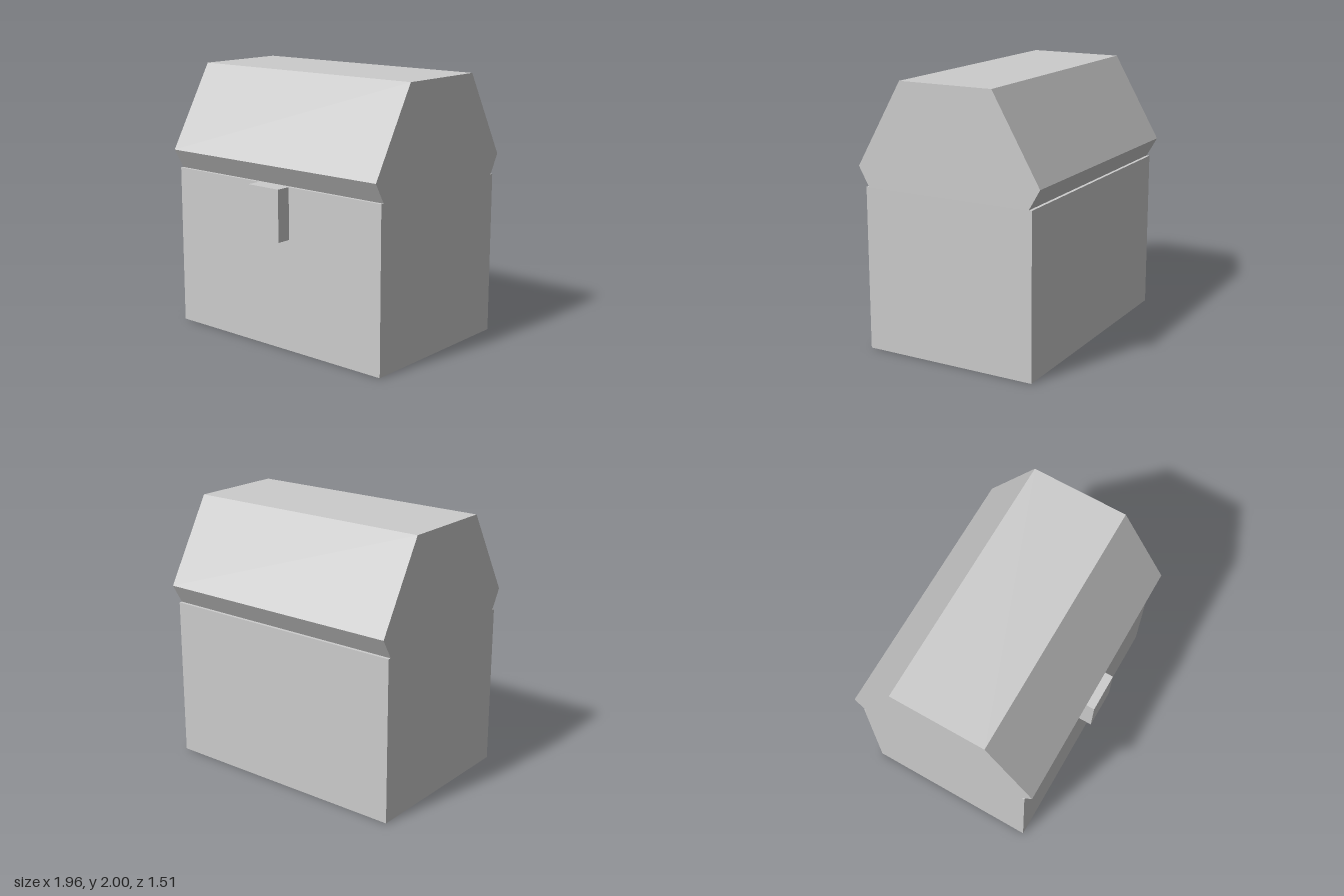
import * as THREE from 'three';

const WIDTH = 1.955;

export function createModel() {
  const grey = new THREE.MeshStandardMaterial({ color: 0xcccccc });
  grey.name = 'grey';
  const model = new THREE.Group();
  model.name = 'chest';

  const add = (name, geometry, x, y, z) => {
    const mesh = new THREE.Mesh(geometry, grey);
    mesh.name = name;
    mesh.position.set(x, y, z);
    model.add(mesh);
  };

  // Box body
  add('body', new THREE.BoxGeometry(WIDTH, 1.22, 1.34), 0, 0.61, -0.022);

  // Lid: a hexagon cut off at the body's rim, drawn as (-z, y) and run along x
  const profile = [[-0.646, 0], [0.646, 0], [0.73, 0.147], [0.365, 0.78], [-0.365, 0.78], [-0.73, 0.147]];
  const lid = new THREE.ExtrudeGeometry(
    new THREE.Shape(profile.map(([a, b]) => new THREE.Vector2(a, b))),
    { depth: WIDTH, bevelEnabled: false },
  );
  lid.translate(0, 0, -WIDTH / 2).rotateY(Math.PI / 2);
  add('lid', lid, 0, 1.22, -0.022);

  // Latch on the front, under the lid
  add('latch', new THREE.BoxGeometry(0.29, 0.385, 0.112), 0, 1.0275, 0.702);

  return model;
}
